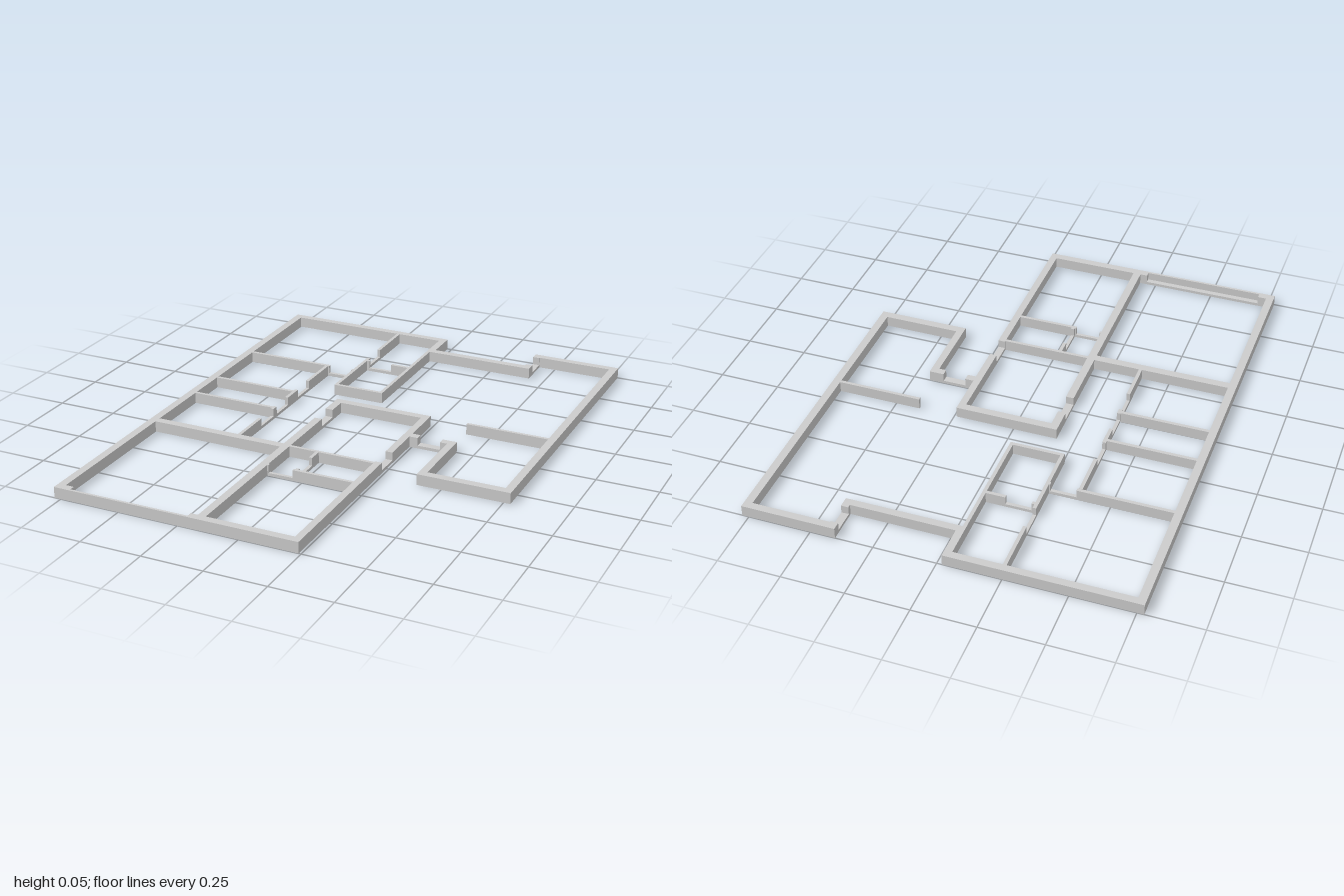
import * as THREE from 'three';

const H = 0.045;    // wall height
const SILL = 0.012; // height left standing under a door opening

export function createModel() {
  const model = new THREE.Group();
  const mat = new THREE.MeshStandardMaterial({ color: 0xcccccc, flatShading: true });

  const box = (parent, name, x0, x1, z0, z1, h) => {
    const m = new THREE.Mesh(new THREE.BoxGeometry(x1 - x0, h, z1 - z0), mat);
    m.name = name;
    m.position.set((x0 + x1) / 2, h / 2, (z0 + z1) / 2);
    parent.add(m);
  };

  // A straight wall; doors are [from, to] spans along its longer direction
  const wall = (name, x0, x1, z0, z1, doors = []) => {
    const g = new THREE.Group();
    g.name = name;
    model.add(g);
    const alongX = x1 - x0 > z1 - z0;
    const piece = (part, a, b, h) => alongX
      ? box(g, part, a, b, z0, z1, h)
      : box(g, part, x0, x1, a, b, h);
    let at = alongX ? x0 : z0;
    for (const [a, b] of doors) {
      piece('wallSection', at, a, H);
      piece('doorSill', a, b, SILL);
      at = b;
    }
    piece('wallSection', at, alongX ? x1 : z1, H);
  };

  // Thick outer walls
  wall('leftOuterWall', -0.777, -0.745, -1, 1);
  wall('backWall', -0.745, -0.02, -1, -0.97);
  wall('backReturnWall', -0.05, -0.02, -0.97, -0.83);
  wall('backRecessWall', -0.02, 0.43, -0.86, -0.83);
  wall('livingReturnWall', 0.4, 0.43, -0.97, -0.86, [[-0.965, -0.875]]);
  wall('livingBackWall', 0.4, 0.745, -1, -0.97);
  wall('livingOuterWall', 0.745, 0.777, -1, 0.33);
  wall('livingFrontWall', 0.43, 0.745, 0.297, 0.33);
  wall('porchSideWall', 0.4, 0.43, 0.03, 0.33);
  wall('entryWall', 0.24, 0.43, 0, 0.03, [[0.275, 0.37]]);

  // Central block and garage
  wall('hallWall', -0.18, 0.24, -0.187, -0.155);
  wall('centralWall', -0.18, -0.148, -0.155, 0.97, [[-0.075, 0.025]]);
  wall('porchInnerWall', 0.211, 0.24, -0.155, 0.97, [[0.195, 0.295]]);
  wall('garageBackWall', -0.745, -0.18, 0.297, 0.33);
  wall('frontWall', -0.745, 0.24, 0.968, 1, [[-0.71, -0.21]]);
  box(model, 'garageDoor', -0.71, -0.21, 0.99, 1, H);

  // Thin partitions
  wall('livingPartition', 0.4, 0.745, -0.188, -0.175);
  wall('closetBackPartition', -0.148, 0.211, 0.3, 0.313);
  wall('closetFrontPartition', -0.148, 0.211, 0.485, 0.498, [[-0.142, -0.04]]);
  wall('closetDivider', -0.034, -0.02, 0.313, 0.485, [[0.37, 0.475]]);
  wall('corridorPartition', -0.385, -0.371, -0.49, 0.297,
    [[-0.305, -0.2], [-0.11, -0.008], [0.02, 0.125]]);
  wall('bedroomPartition', -0.745, -0.257, -0.505, -0.491, [[-0.366, -0.262]]);
  for (const z of [-0.188, -0.004]) wall('roomDivider', -0.745, -0.385, z, z + 0.014);
  wall('bathLeftPartition', -0.257, -0.243, -0.97, -0.32, [[-0.755, -0.65]]);
  wall('bathRightPartition', -0.05, -0.036, -0.83, -0.32);
  wall('bathDivider', -0.243, -0.05, -0.63, -0.616, [[-0.232, -0.128]]);
  wall('bathFrontPartition', -0.257, -0.036, -0.33, -0.316);

  return model;
}
